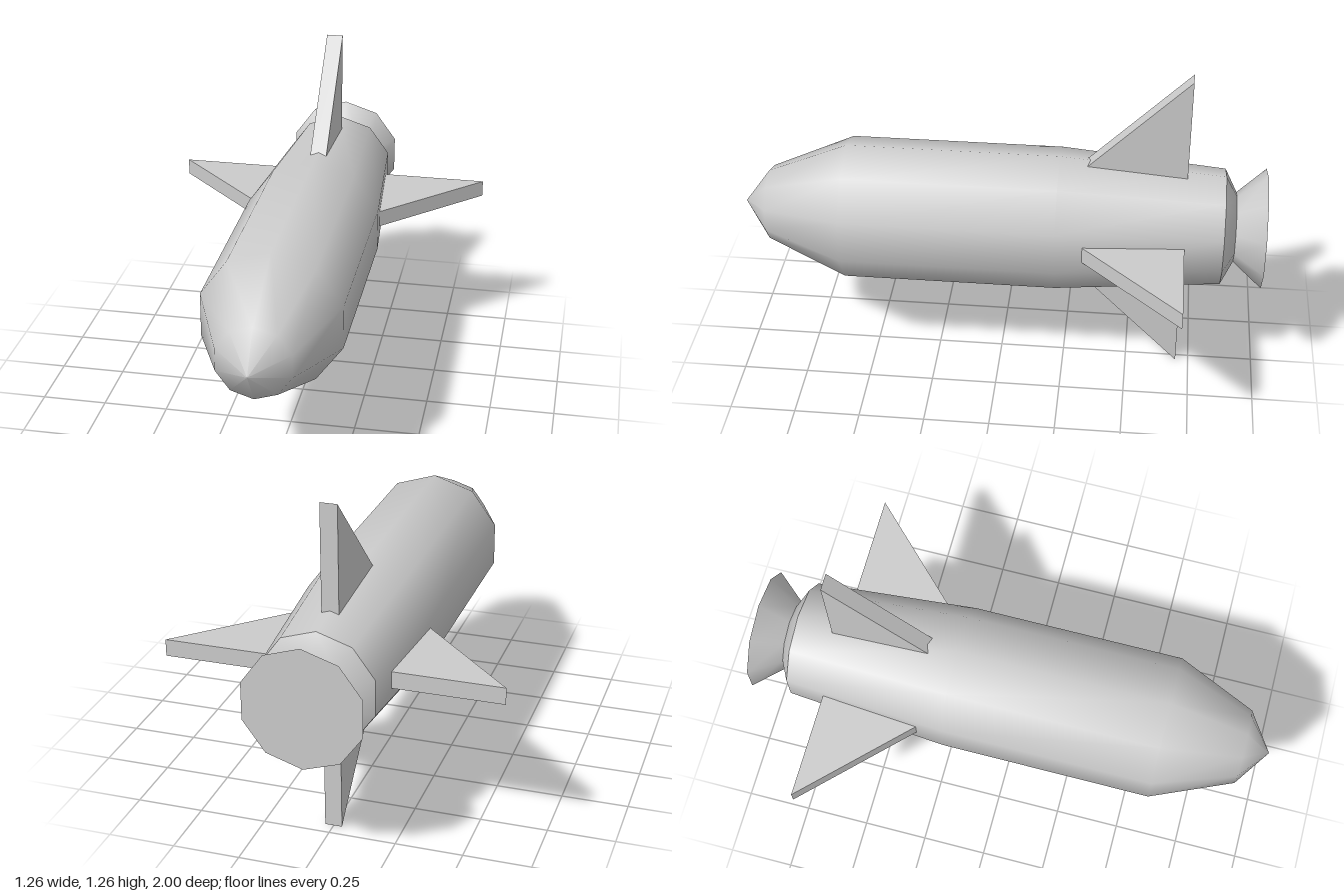
import * as THREE from 'three';
import { toCreasedNormals } from 'three/addons/utils/BufferGeometryUtils.js';

const SIDES = 10;
const AXIS_Y = 0.63;

// Revolve [radius, z] pairs (tail to nose) around the z axis
function revolve(profile) {
  const points = profile.map(([r, z]) => new THREE.Vector2(r, z));
  const geometry = new THREE.LatheGeometry(points, SIDES).rotateX(Math.PI / 2);
  return toCreasedNormals(geometry, THREE.MathUtils.degToRad(50));
}

export function createModel() {
  const model = new THREE.Group();
  model.name = 'rocket';
  const material = new THREE.MeshStandardMaterial({ color: 0xcccccc });

  function add(name, geometry) {
    const mesh = new THREE.Mesh(geometry, material);
    mesh.name = name;
    mesh.position.y = AXIS_Y;
    model.add(mesh);
    return mesh;
  }

  // Body with tapered tail and pointed nose
  add('body', revolve([
    [0, -0.89], [0.133, -0.89], [0.22, -0.845], [0.272, -0.22],
    [0.272, 0.595], [0.142, 0.9], [0, 1],
  ]));

  // Flared nozzle with a flat closed end
  add('nozzle', revolve([[0, -1], [0.228, -1], [0.133, -0.89]]));

  // Four swept triangular fins, roots sunk into the body
  const thickness = 0.064;
  const outline = new THREE.Shape([
    new THREE.Vector2(0.2, -0.7),
    new THREE.Vector2(0.628, -0.7),
    new THREE.Vector2(0.2, -0.272),
  ]);
  const finGeometry = new THREE.ExtrudeGeometry(outline, { depth: thickness, bevelEnabled: false })
    .translate(0, 0, -thickness / 2)
    .rotateX(Math.PI / 2);
  ['leftFin', 'topFin', 'rightFin', 'bottomFin'].forEach((name, i) => {
    add(name, finGeometry).rotation.z = i * Math.PI / 2;
  });

  return model;
}
